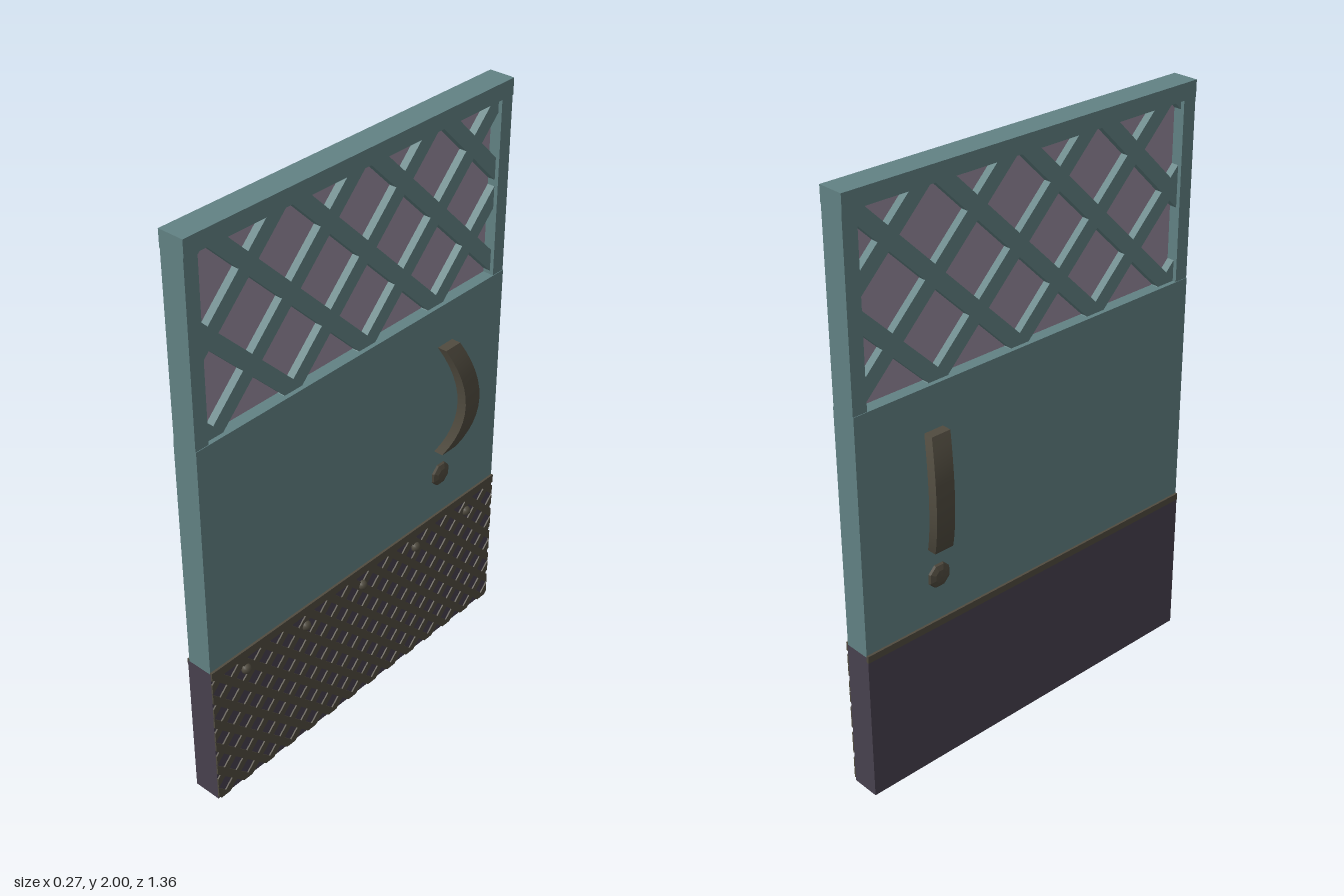
import * as THREE from 'three';

const mat = (name, color, extra = {}) => Object.assign(new THREE.MeshStandardMaterial({ color, ...extra }), { name });

// Part of a polygon where a*x + b*y <= c
function clip(poly, a, b, c) {
  const out = [];
  poly.forEach((p, i) => {
    const q = poly[(i + 1) % poly.length];
    const dp = a * p.x + b * p.y - c, dq = a * q.x + b * q.y - c;
    if (dp <= 0) out.push(p);
    if (dp * dq < 0) out.push(p.clone().lerp(q, dp / (dp - dq)));
  });
  return out;
}

// Crossing 45 degree bars trimmed to a rectangle; horizontal axis is -z, depth runs along x
function lattice(name, material, { half, y0, y1, step, width, nodeU, nodeY, x0, x1 }) {
  const group = new THREE.Group();
  group.name = name;
  const rect = [[-half, y0], [half, y0], [half, y1], [-half, y1]].map(p => new THREE.Vector2(...p));
  const h = width * Math.SQRT1_2;
  for (const s of [1, -1]) {
    const n = Math.ceil(4 / step);
    for (let k = -n; k <= n; k++) {
      const c = nodeY + s * nodeU + k * step;
      const poly = clip(clip(rect, s, 1, c + h), -s, -1, h - c);
      if (poly.length < 3) continue;
      const geo = new THREE.ExtrudeGeometry(new THREE.Shape(poly), { depth: x1 - x0, bevelEnabled: false });
      geo.rotateY(Math.PI / 2).translate(x0, 0, 0);
      const bar = new THREE.Mesh(geo, material);
      bar.name = name + 'Bar';
      group.add(bar);
    }
  }
  return group;
}

export function createModel() {
  const model = new THREE.Group();
  model.name = 'door';
  const teal = mat('tealPaint', 0x628284);
  const glass = mat('mauveGlass', 0x978b9d);
  const plum = mat('plumPlate', 0x48414e);
  const bronze = mat('bronze', 0x504b3f);
  const bronzeFlat = mat('facetedBronze', 0x504b3f, { flatShading: true });

  const add = (name, geo, material, x = 0, y = 0, z = 0) => {
    const m = new THREE.Mesh(geo, material);
    m.name = name;
    m.position.set(x, y, z);
    model.add(m);
    return m;
  };
  const box = (name, material, x0, x1, y0, y1, z0, z1) =>
    add(name, new THREE.BoxGeometry(x1 - x0, y1 - y0, z1 - z0), material, (x0 + x1) / 2, (y0 + y1) / 2, (z0 + z1) / 2);

  // Door body and window frame
  box('middlePanel', teal, -0.045, 0.045, 0.53, 1.345, -0.68, 0.68);
  box('topRail', teal, -0.045, 0.045, 1.945, 2, -0.68, 0.68);
  box('frontStile', teal, -0.043, 0.043, 1.345, 1.945, 0.63, 0.68);
  box('backStile', teal, -0.043, 0.043, 1.345, 1.945, -0.68, -0.63);

  // Window pane with lattice through it
  box('windowPane', glass, -0.004, 0.004, 1.345, 1.945, -0.63, 0.63);
  model.add(lattice('windowLattice', teal, {
    half: 0.63, y0: 1.345, y1: 1.945, step: 0.319, width: 0.053, nodeU: 0.2, nodeY: 1.825, x0: -0.03, x1: 0.03,
  }));

  // Kick plate with raised mesh on one face
  box('kickPlate', plum, -0.051, 0.047, 0, 0.53, -0.68, 0.68);
  model.add(lattice('kickMesh', bronze, {
    half: 0.68, y0: 0, y1: 0.512, step: 0.1, width: 0.027, nodeU: 0, nodeY: 0.05, x0: 0.046, x1: 0.052,
  }));
  box('kickTrimRight', bronze, -0.053, -0.044, 0.512, 0.536, -0.68, 0.68);
  box('kickTrimLeft', bronze, 0.044, 0.053, 0.505, 0.536, -0.68, 0.68);

  // Rivets along the mesh
  for (let i = -2; i <= 2; i++) {
    add('rivet', new THREE.SphereGeometry(0.018, 10, 8), bronze, 0.05, 0.46, i * 0.268);
  }

  // Bowed handle and knob on each face
  for (const side of [1, -1]) {
    const geo = new THREE.BoxGeometry(0.034, 0.4, 0.07, 1, 12, 1);
    const p = geo.attributes.position;
    for (let i = 0; i < p.count; i++) {
      const bow = 1 - (p.getY(i) / 0.2) ** 2;
      p.setX(i, p.getX(i) + side * 0.058 * bow);
      p.setZ(i, p.getZ(i) - 0.038 * bow);
    }
    geo.computeVertexNormals();
    add('handle', geo, bronze, side * 0.061, 1, -0.395);

    const knob = new THREE.SphereGeometry(0.046, 8, 6).rotateZ(-Math.PI / 2).rotateX(Math.PI / 8);
    add('knob', knob.scale(0.42, 1, 1), bronzeFlat, side * 0.042, 0.695, -0.392);
  }
  return model;
}
